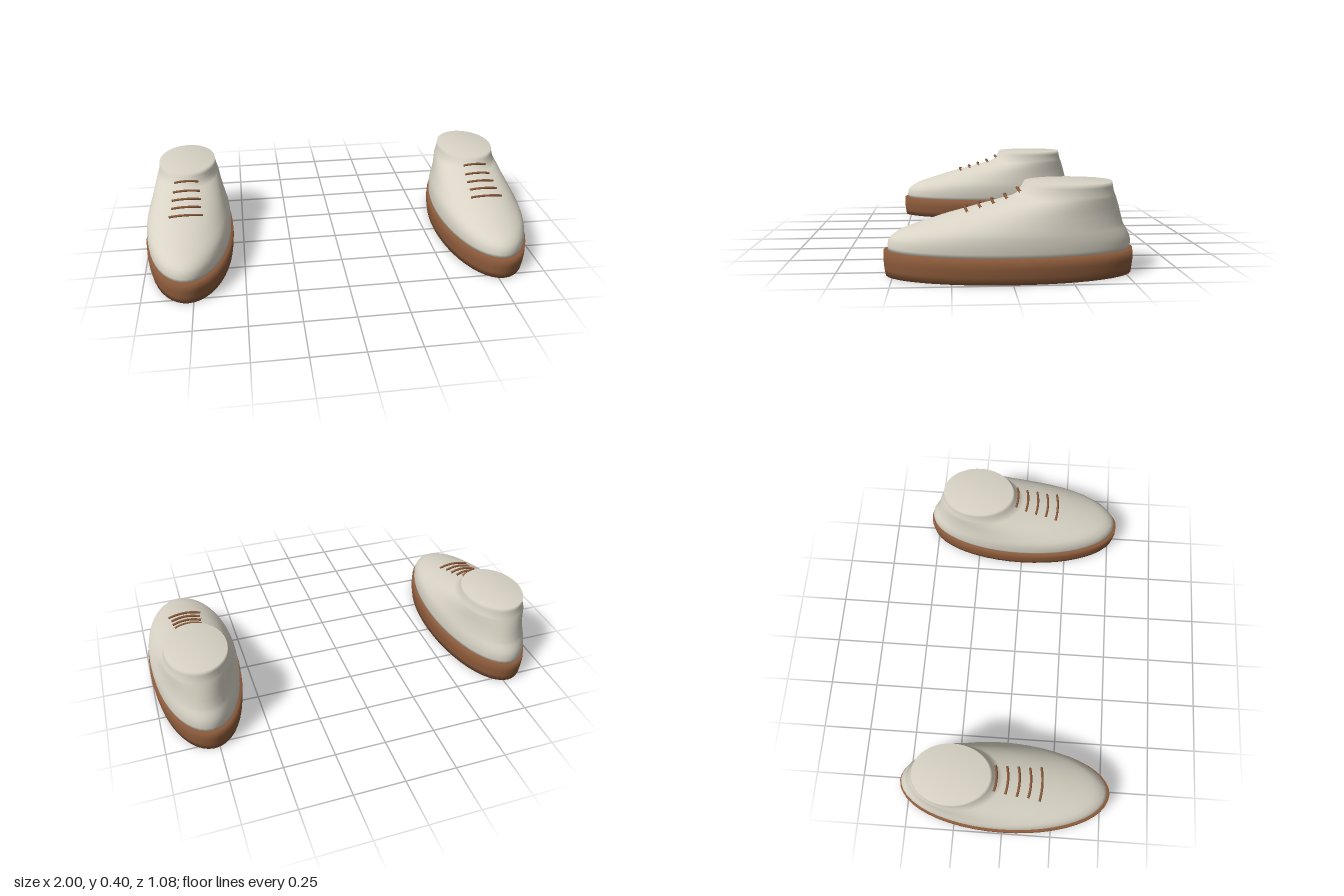
import * as THREE from 'three';

const SEGMENTS = 48;

// Closed loft through level ellipses, each ring: [y, halfWidth, frontZ, backZ]
function loft(rings) {
  const pos = [], index = [], n = SEGMENTS;
  for (const [y, w, front, back] of rings) {
    const cz = (front + back) / 2, d = (front - back) / 2;
    for (let i = 0; i < n; i++) {
      const t = (i / n) * Math.PI * 2;
      pos.push(w * Math.cos(t), y, cz + d * Math.sin(t));
    }
  }
  for (let r = 0; r < rings.length - 1; r++) {
    for (let i = 0; i < n; i++) {
      const a = r * n + i, b = r * n + (i + 1) % n;
      index.push(a, a + n, b, b, a + n, b + n);
    }
  }
  // end caps
  const last = rings.length - 1, bottom = pos.length / 3, top = bottom + 1;
  for (const [y, , front, back] of [rings[0], rings[last]]) pos.push(0, y, (front + back) / 2);
  for (let i = 0; i < n; i++) {
    const j = (i + 1) % n;
    index.push(bottom, i, j, top, last * n + j, last * n + i);
  }
  const g = new THREE.BufferGeometry();
  g.setAttribute('position', new THREE.Float32BufferAttribute(pos, 3));
  g.setIndex(index);
  g.computeVertexNormals();
  return g;
}

const SOLE = [
  [0, 0.217, 0.533, -0.533],
  [0.03, 0.222, 0.538, -0.537],
  [0.065, 0.225, 0.541, -0.541],
  [0.11, 0.223, 0.539, -0.538],
];

const UPPER = [
  [0.108, 0.213, 0.522, -0.526],
  [0.125, 0.215, 0.523, -0.527],
  [0.15, 0.216, 0.519, -0.527],
  [0.17, 0.215, 0.505, -0.521],
  [0.188, 0.213, 0.48, -0.512],
  [0.203, 0.21, 0.45, -0.503],
  [0.22, 0.204, 0.40, -0.493],
  [0.258, 0.189, 0.28, -0.482],
  [0.293, 0.176, 0.148, -0.473],
  [0.333, 0.163, -0.006, -0.46],
  [0.345, 0.158, -0.027, -0.455],
  [0.36, 0.153, -0.04, -0.45],
  [0.38, 0.149, -0.053, -0.446],
  [0.4, 0.147, -0.064, -0.443],
];

// Laces: [halfWidth, y, z] at the middle of each
const LACES = [
  [0.083, 0.288, 0.189],
  [0.073, 0.305, 0.133],
  [0.072, 0.322, 0.077],
  [0.067, 0.341, 0.021],
  [0.061, 0.369, -0.034],
];

export function createModel() {
  const cream = new THREE.MeshStandardMaterial({ color: 0xd8d3c5 });
  cream.name = 'cream';
  const brown = new THREE.MeshStandardMaterial({ color: 0x8b5a3a });
  brown.name = 'brown';

  const soleGeometry = loft(SOLE);
  const upperGeometry = loft(UPPER);
  // laces arch over the instep, ends lower and further back
  const laceGeometries = LACES.map(([w, y, z]) => new THREE.TubeGeometry(
    new THREE.QuadraticBezierCurve3(
      new THREE.Vector3(-w, y - 0.010, z - 0.009),
      new THREE.Vector3(0, y + 0.010, z + 0.009),
      new THREE.Vector3(w, y - 0.010, z - 0.009)),
    12, 0.006, 8));

  const model = new THREE.Group();
  model.name = 'pairOfShoes';
  for (const [name, x] of [['leftShoe', 0.775], ['rightShoe', -0.775]]) {
    const shoe = new THREE.Group();
    shoe.name = name;
    shoe.position.x = x;
    const add = (part, geometry, material) => {
      const mesh = new THREE.Mesh(geometry, material);
      mesh.name = part;
      shoe.add(mesh);
    };
    add('sole', soleGeometry, brown);
    add('upper', upperGeometry, cream);
    laceGeometries.forEach((g, i) => add('lace' + (i + 1), g, brown));
    model.add(shoe);
  }
  return model;
}
